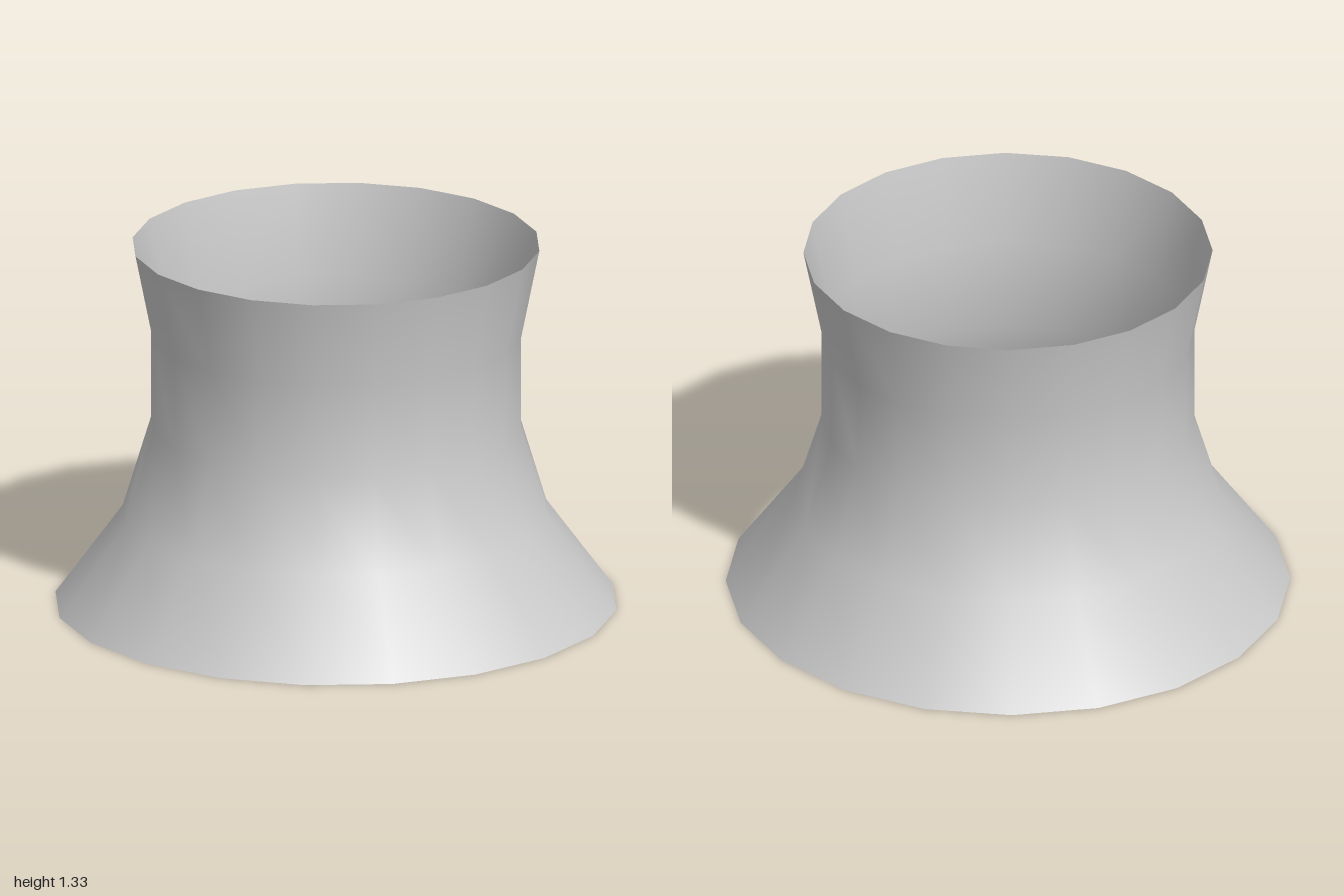
import * as THREE from 'three';

export function createModel() {
  const group = new THREE.Group();
  group.name = 'flaredSleeve';

  // Wall profile from the wide foot up to the flared rim: [radius, height]
  const profile = [
    [1, 0],
    [0.76, 0.33],
    [0.66, 0.66],
    [0.66, 1],
    [0.725, 1.325],
  ].map(([r, y]) => new THREE.Vector2(r, y));

  // Open, thin, smooth-shaded wall with twenty sides
  const material = new THREE.MeshStandardMaterial({ color: 0xcccccc, side: THREE.DoubleSide });
  const wall = new THREE.Mesh(new THREE.LatheGeometry(profile, 20), material);
  wall.name = 'wall';
  group.add(wall);

  return group;
}
